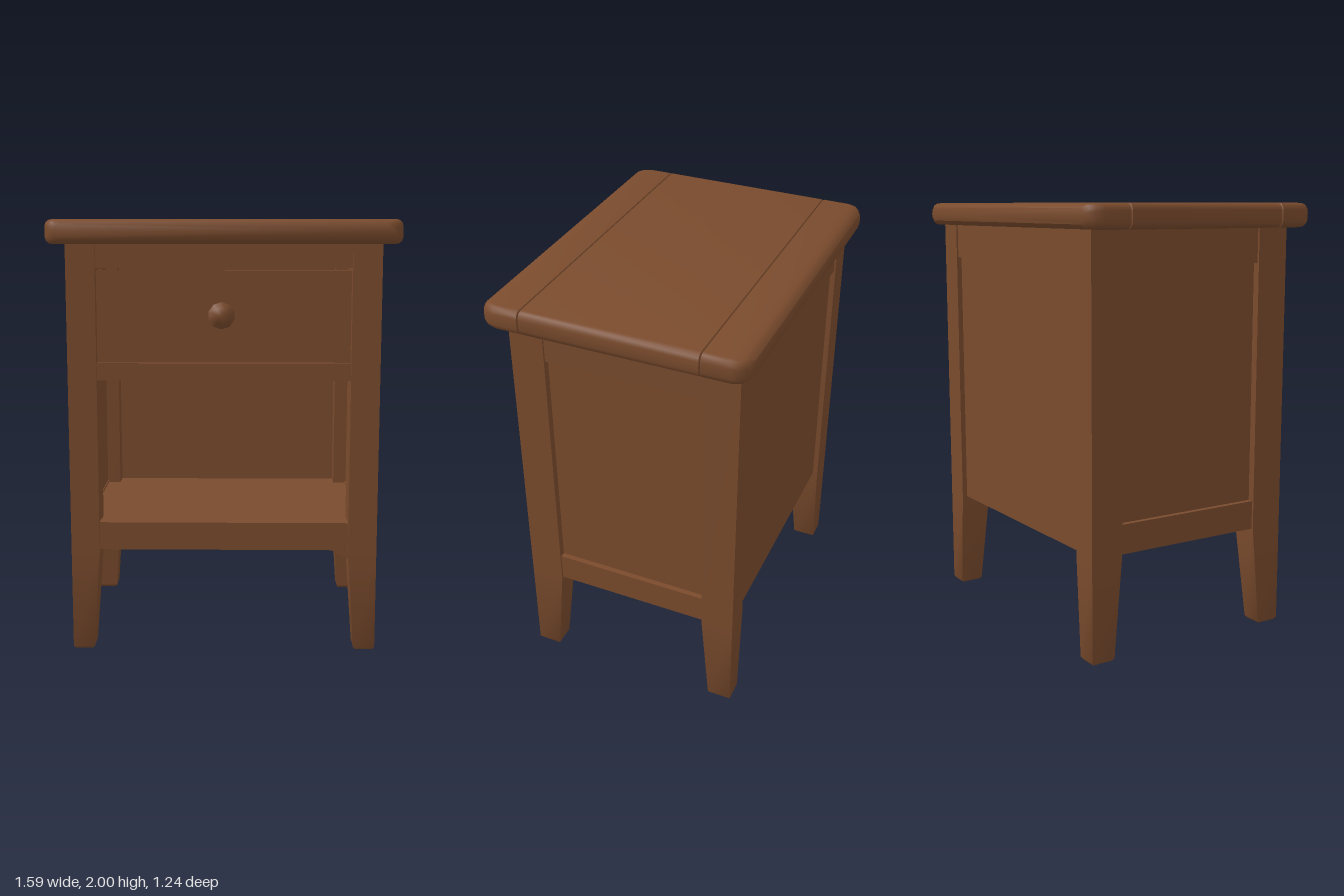
import * as THREE from 'three';
import { toCreasedNormals } from 'three/addons/utils/BufferGeometryUtils.js';

// Skin a list of equal-length convex rings, each counter-clockwise seen from the far end.
function loft(rings, crease = 0.6) {
  const n = rings[0].length, last = (rings.length - 1) * n, index = [];
  for (let i = 0; i < rings.length - 1; i++) {
    for (let j = 0; j < n; j++) {
      const a = i * n + j, b = i * n + (j + 1) % n;
      index.push(a, b, b + n, a, b + n, a + n);
    }
  }
  for (let j = 1; j < n - 1; j++) {
    index.push(0, j + 1, j, last, last + j, last + j + 1);
  }
  const g = new THREE.BufferGeometry();
  g.setAttribute('position', new THREE.Float32BufferAttribute(rings.flat(2), 3));
  g.setIndex(index);
  return toCreasedNormals(g, crease);
}

export function createModel() {
  const model = new THREE.Group();
  model.name = 'nightstand';
  const wood = new THREE.MeshStandardMaterial({ color: 0x7a4b2d });
  wood.name = 'brown wood';

  const add = (name, geometry) => {
    const mesh = new THREE.Mesh(geometry, wood);
    mesh.name = name;
    model.add(mesh);
    return mesh;
  };
  // Box given by its limits on each axis
  const box = (name, x0, x1, y0, y1, z0, z1) => {
    const mesh = add(name, new THREE.BoxGeometry(x1 - x0, y1 - y0, z1 - z0));
    mesh.position.set((x0 + x1) / 2, (y0 + y1) / 2, (z0 + z1) / 2);
  };

  // Table top: rounded slab with grooves where the three boards meet
  const slabRing = (z, inset, drop) => {
    const w = 0.795 - inset, h = 0.055 - drop, r = 0.032, ring = [];
    for (let q = 0; q < 4; q++) {
      const sx = q === 0 || q === 3 ? 1 : -1, sy = q < 2 ? 1 : -1;
      for (let k = 0; k <= 3; k++) {
        const a = (q + k / 3) * Math.PI / 2;
        ring.push([sx * (w - r) + r * Math.cos(a), 1.945 + sy * (h - r) + r * Math.sin(a), z]);
      }
    }
    return ring;
  };
  const groove = z => [[z - 0.004, 0, 0], [z, 0.006, 0.005], [z + 0.004, 0, 0]];
  add('tableTop', loft([
    [-0.62, 0.05, 0.022], [-0.605, 0.03, 0.008], [-0.585, 0.012, 0.002], [-0.55, 0, 0],
    ...groove(-0.42), ...groove(0.39),
    [0.505, 0, 0], [0.54, 0.01, 0.002], [0.562, 0.025, 0.008], [0.575, 0.045, 0.022],
  ].map(s => slabRing(...s)), 0.75));

  // Legs: square posts tapering on their inner faces below the case
  const legRing = (side, y, xIn, xOut, z0, z1) => {
    const x0 = side > 0 ? xIn : -xOut, x1 = side > 0 ? xOut : -xIn;
    return [[x0, y, z0], [x0, y, z1], [x1, y, z1], [x1, y, z0]];
  };
  for (const side of [1, -1]) {
    const label = side > 0 ? 'left' : 'right';
    add(label + 'FrontLeg', loft([
      legRing(side, 0, 0.618, 0.702, 0.385, 0.482),
      legRing(side, 0.012, 0.61, 0.71, 0.375, 0.49),
      legRing(side, 0.48, 0.578, 0.71, 0.33, 0.49),
      legRing(side, 1.9, 0.578, 0.71, 0.33, 0.49),
    ]));
    add(label + 'BackLeg', loft([
      legRing(side, 0, 0.618, 0.702, -0.557, -0.46),
      legRing(side, 0.012, 0.61, 0.71, -0.565, -0.45),
      legRing(side, 0.48, 0.578, 0.71, -0.565, -0.41),
      legRing(side, 1.9, 0.578, 0.71, -0.565, -0.41),
    ]));

    // Side frame and recessed panel
    const sideBox = (name, xIn, xOut, y0, y1) => box(label + name,
      Math.min(side * xIn, side * xOut), Math.max(side * xIn, side * xOut), y0, y1, -0.42, 0.34);
    sideBox('SidePanel', 0.645, 0.675, 0.6, 1.75);
    sideBox('TopSideRail', 0.64, 0.7, 1.73, 1.9);
    sideBox('BottomSideRail', 0.64, 0.7, 0.48, 0.615);
  }

  // Back
  box('backPanel', -0.59, 0.59, 0.48, 1.75, -0.54, -0.51);
  box('backTopRail', -0.59, 0.59, 1.73, 1.9, -0.557, -0.51);

  // Front rails and shelf
  box('frontTopRail', -0.59, 0.59, 1.785, 1.9, 0.41, 0.475);
  box('frontMiddleRail', -0.59, 0.59, 1.275, 1.355, 0.41, 0.475);
  box('frontBottomRail', -0.59, 0.59, 0.48, 0.61, 0.41, 0.475);
  box('shelf', -0.65, 0.65, 0.56, 0.605, -0.515, 0.42);

  // Small brace under the front rail
  const brace = new THREE.Shape([[0.49, 0.485], [0.585, 0.435], [0.585, 0.485]]
    .map(p => new THREE.Vector2(...p)));
  add('cornerBrace', new THREE.ExtrudeGeometry(brace, { depth: 0.06, bevelEnabled: false }))
    .position.z = 0.414;

  // Drawer with its box behind the front
  box('drawerFront', -0.572, 0.572, 1.365, 1.775, 0.43, 0.495);
  box('drawerBox', -0.64, 0.64, 1.32, 1.74, -0.51, 0.44);

  // Knob: flared stem with a pointed face
  const profile = [[0.042, 0], [0.032, 0.03], [0.058, 0.07], [0.06, 0.085], [0.035, 0.112], [0, 0.125]];
  const knob = add('drawerKnob', toCreasedNormals(
    new THREE.LatheGeometry(profile.map(p => new THREE.Vector2(...p)), 10), 0.8));
  knob.rotation.x = Math.PI / 2;
  knob.position.set(-0.008, 1.578, 0.49);

  return model;
}
